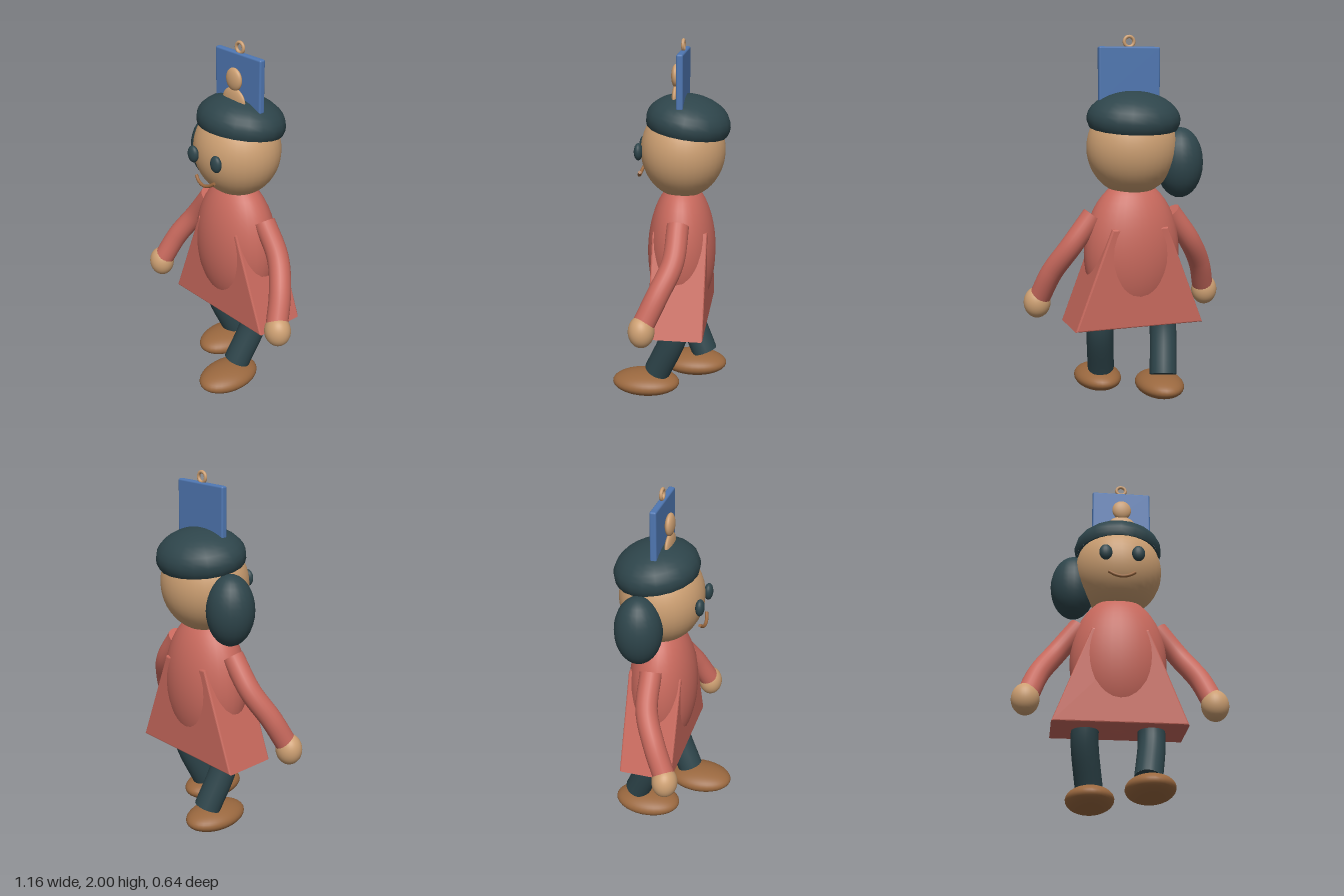
import * as THREE from 'three';
import { RoundedBoxGeometry } from 'three/addons/geometries/RoundedBoxGeometry.js';

const material = (name, color) => {
  const m = new THREE.MeshStandardMaterial({ color });
  m.name = name;
  return m;
};

export function createModel() {
  const red = material('dress red', 0xc8695d);
  const dark = material('dark teal', 0x2e454b);
  const skin = material('skin', 0xcc9f72);
  const brown = material('shoe brown', 0x9a683f);
  const blue = material('plate blue', 0x4f77b2);

  const model = new THREE.Group();
  model.name = 'hangingFigure';

  const add = (name, geometry, mat, x = 0, y = 0, z = 0) => {
    const mesh = new THREE.Mesh(geometry, mat);
    mesh.name = name;
    mesh.position.set(x, y, z);
    model.add(mesh);
    return mesh;
  };
  const ellipsoid = (name, mat, [x, y, z], [rx, ry, rz], w = 32, h = 24) =>
    add(name, new THREE.SphereGeometry(1, w, h).scale(rx, ry, rz), mat, x, y, z);
  const curveOf = (points) => new THREE.CatmullRomCurve3(points.map((p) => new THREE.Vector3(...p)));

  // Tube with flat discs closing both ends
  const limb = (name, mat, points, radius) => {
    const curve = curveOf(points);
    add(name, new THREE.TubeGeometry(curve, 20, radius, 20), mat);
    for (const t of [0, 1]) {
      const p = curve.getPoint(t);
      const out = curve.getTangent(t).multiplyScalar(t ? 1 : -1);
      const cap = add(name + 'End', new THREE.CircleGeometry(radius, 20), mat, p.x, p.y, p.z);
      cap.quaternion.setFromUnitVectors(new THREE.Vector3(0, 0, 1), out);
    }
  };

  // Torso and flared skirt
  ellipsoid('torso', red, [0, 0.825, -0.06], [0.27, 0.4, 0.188]);
  const bevel = 0.01;
  const skirt = new THREE.Shape([
    new THREE.Vector2(-0.365, 0.43), new THREE.Vector2(0.365, 0.43),
    new THREE.Vector2(0.158, 0.975), new THREE.Vector2(-0.158, 0.975),
  ]);
  add('skirt', new THREE.ExtrudeGeometry(skirt, {
    depth: 0.3 - 2 * bevel, bevelSize: bevel, bevelThickness: bevel, bevelOffset: -bevel, bevelSegments: 3,
  }), red, 0, 0, -0.215 + bevel);

  // Head, hair and side bun
  ellipsoid('head', skin, [0, 1.4, -0.065], [0.25, 0.26, 0.23]);
  const hairGeometry = new THREE.SphereGeometry(1, 20, 10, 0, Math.PI * 2, 0, Math.PI * 0.6).scale(0.256, 0.148, 0.23);
  const hair = add('hairCap', hairGeometry, dark, 0, 1.555, -0.092);
  hair.rotation.x = -0.15;
  const rim = add('hairUnderside', new THREE.CircleGeometry(1, 20).rotateX(Math.PI / 2).scale(0.243, 1, 0.219),
    dark, 0, 1.555 - 0.0452, -0.092 + 0.0068);
  rim.rotation.x = -0.15;
  ellipsoid('hairBun', dark, [-0.257, 1.315, -0.118], [0.13, 0.193, 0.128], 24, 16);

  // Face
  for (const side of [-1, 1]) {
    ellipsoid('eye', dark, [side * 0.092, 1.403, 0.167], [0.037, 0.047, 0.024], 20, 14);
  }
  limb('mouth', brown, [
    [-0.073, 1.284, 0.163], [-0.04, 1.261, 0.172], [0, 1.251, 0.175],
    [0.04, 1.261, 0.172], [0.073, 1.284, 0.163],
  ], 0.009);

  // Arms, hands, legs and shoes; the left leg steps forward
  for (const side of [-1, 1]) {
    limb('arm', red, [
      [side * 0.222, 1.037, -0.065], [side * 0.345, 0.87, -0.053],
      [side * 0.437, 0.72, 0.015], [side * 0.49, 0.57, 0.085],
    ], 0.06);
    ellipsoid('hand', skin, [side * 0.503, 0.54, 0.092], [0.075, 0.087, 0.07]);

    const ankleZ = side > 0 ? 0.06 : -0.18;
    limb('leg', dark, [
      [side * 0.17, 0.55, -0.06], [side * 0.178, 0.38, side > 0 ? -0.04 : -0.085],
      [side * 0.145, 0.14, ankleZ],
    ], 0.075);
    ellipsoid('shoe', brown, [side * 0.145, 0.067, side > 0 ? 0.127 : -0.12], [0.13, 0.067, 0.191]);
  }

  // Plate on the head, with a small bust and a hanging ring
  const plateX = 0.017;
  add('plate', new RoundedBoxGeometry(0.345, 0.29, 0.036, 3, 0.01), blue, plateX, 1.793, -0.066);
  ellipsoid('bustHead', skin, [plateX, 1.803, -0.026], [0.056, 0.062, 0.024]);
  ellipsoid('bustShoulders', skin, [plateX, 1.685, -0.026], [0.085, 0.073, 0.02]);
  add('ring', new THREE.TorusGeometry(0.027, 0.009, 12, 28), skin, plateX, 1.964, -0.066);

  return model;
}
